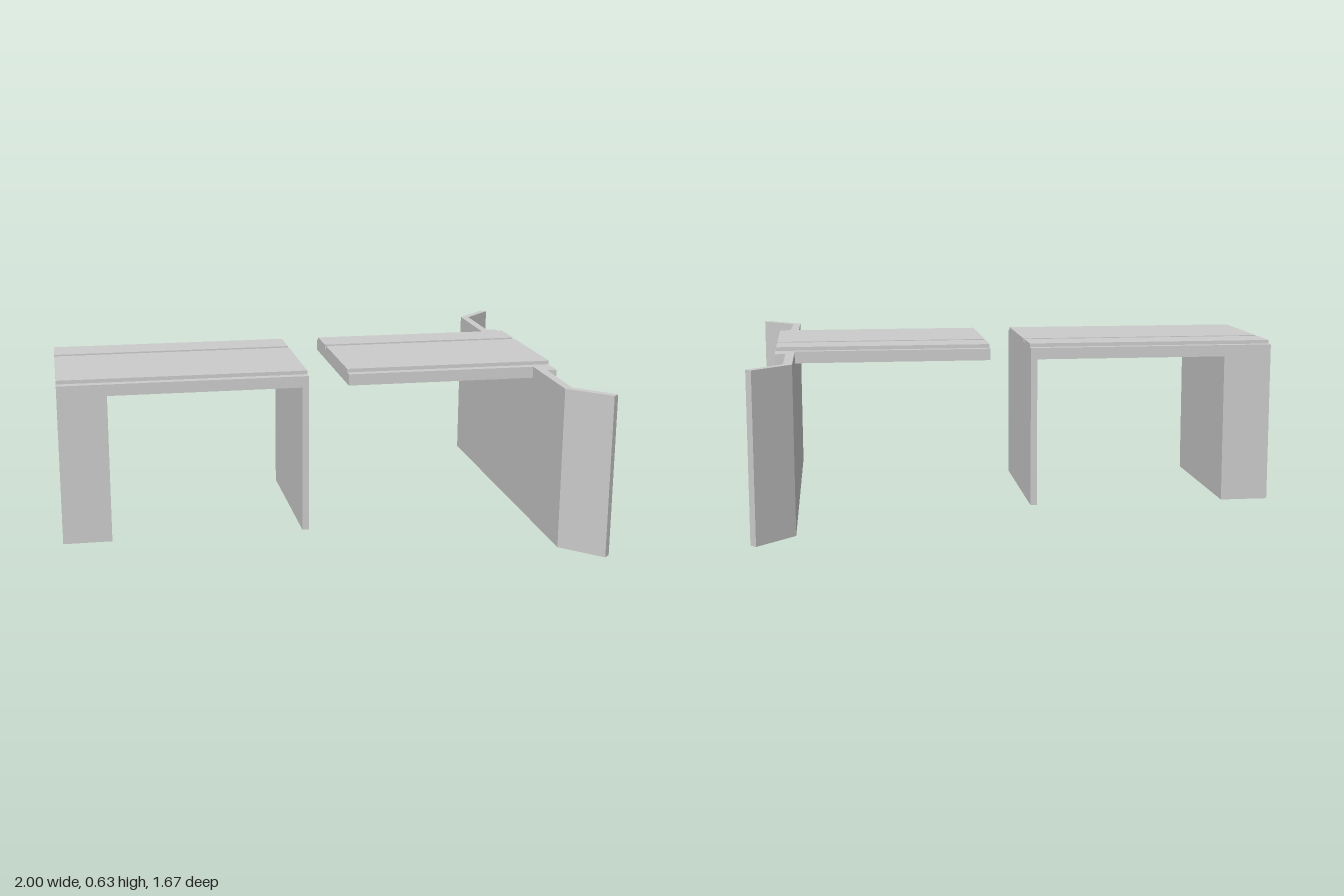
import * as THREE from 'three';

const material = new THREE.MeshStandardMaterial({ color: 0xcccccc, flatShading: true });

// Box given by its limits on each axis
function block(name, x0, x1, y0, y1, z0, z1) {
  const mesh = new THREE.Mesh(new THREE.BoxGeometry(x1 - x0, y1 - y0, z1 - z0), material);
  mesh.name = name;
  mesh.position.set((x0 + x1) / 2, (y0 + y1) / 2, (z0 + z1) / 2);
  return mesh;
}

// Vertical prism from a plan outline of [x, z] points
function prism(name, plan, height) {
  const shape = new THREE.Shape(plan.map(([x, z]) => new THREE.Vector2(x, -z)));
  const geometry = new THREE.ExtrudeGeometry(shape, { depth: height, bevelEnabled: false });
  geometry.rotateX(-Math.PI / 2);
  const mesh = new THREE.Mesh(geometry, material);
  mesh.name = name;
  return mesh;
}

const DECK_BOTTOM = 0.57, DECK_TOP = 0.614, ROAD_TOP = 0.628, HALF_WIDTH = 0.33;

// Deck slab with a wide and a narrow raised strip, split by a groove
function deck(name, x0, x1, slabEnd) {
  const group = new THREE.Group();
  group.name = name;
  group.add(
    block('deckSlab', x0, slabEnd, DECK_BOTTOM, DECK_TOP, -HALF_WIDTH, HALF_WIDTH),
    block('wideRoadStrip', x0, x1, DECK_TOP, ROAD_TOP, -0.125, 0.297),
    block('narrowRoadStrip', x0, x1, DECK_TOP, ROAD_TOP, -0.3, -0.152),
  );
  return group;
}

export function createModel() {
  const model = new THREE.Group();
  model.name = 'bridgeSections';

  // Free-standing span on a thick pier and a thin wall
  const span = new THREE.Group();
  span.name = 'standingSpan';
  span.add(
    deck('spanDeck', -1, -0.055, -0.055),
    block('thickPier', -1, -0.815, 0, DECK_BOTTOM, -HALF_WIDTH, HALF_WIDTH),
    block('thinPier', -0.08, -0.055, 0, DECK_BOTTOM, -HALF_WIDTH, HALF_WIDTH),
  );

  // Cantilevered deck carried by an abutment with splayed wing walls
  const end = new THREE.Group();
  end.name = 'endSpan';
  end.add(
    deck('endDeck', 0.1, 0.907, 0.85),
    prism('abutmentWithWings', [
      [0.84, -0.7], [0.975, -0.836], [0.995, -0.815], [0.872, -0.688], [0.87, -0.4],
      [0.91, -0.4], [0.904, 0.396], [0.866, 0.396], [0.861, 0.68], [0.988, 0.808],
      [0.966, 0.83], [0.83, 0.694],
    ], DECK_TOP),
  );

  model.add(span, end);
  return model;
}
